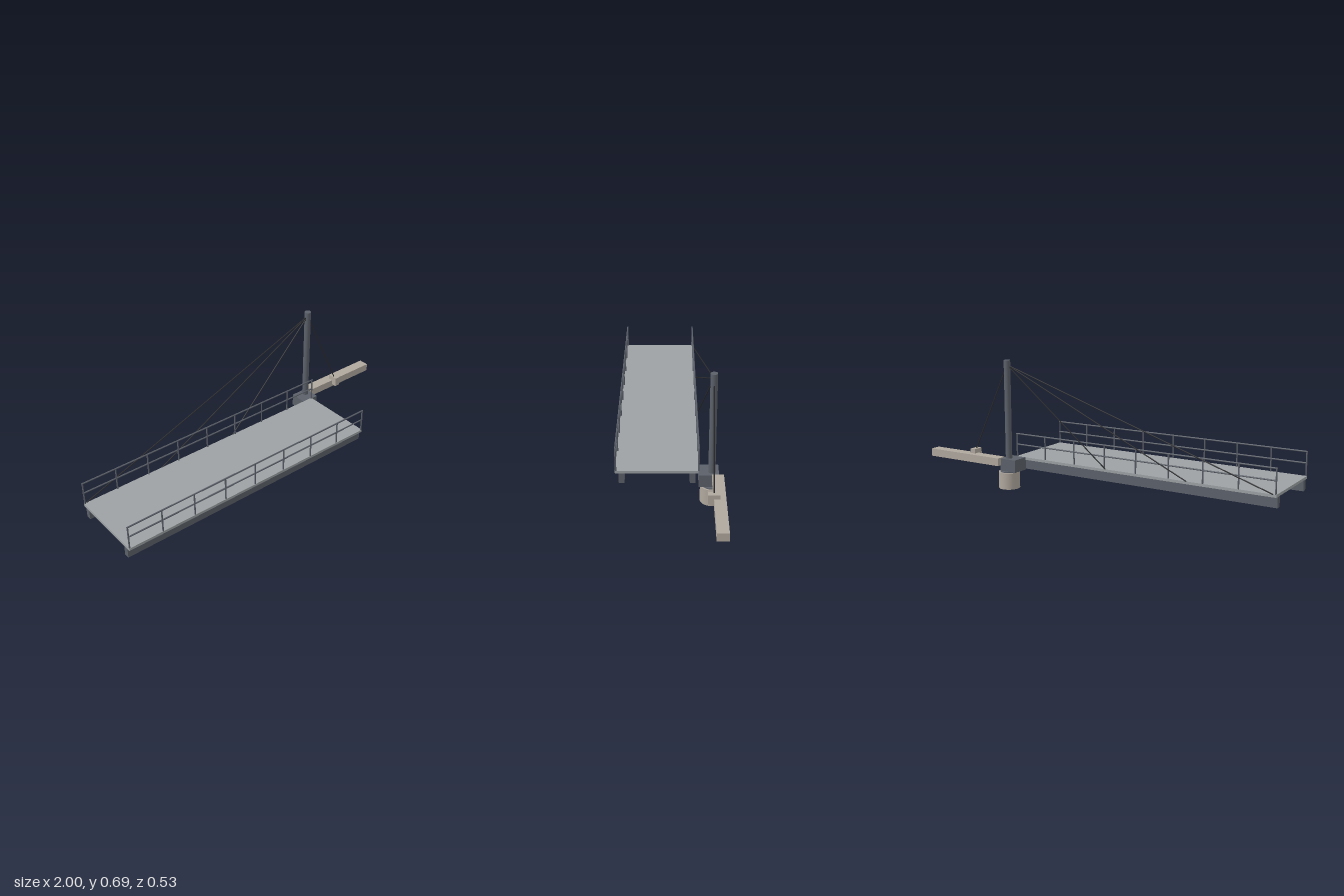
import * as THREE from 'three';

const mat = (color) => new THREE.MeshStandardMaterial({ color });

export function createModel() {
  const model = new THREE.Group();
  const steel = mat(0x5c616a), deckGrey = mat(0x9da1a3), stone = mat(0xb0a89e), dark = mat(0x2b2c2e);

  const add = (parent, name, geometry, material) => {
    const mesh = new THREE.Mesh(geometry, material);
    mesh.name = name;
    parent.add(mesh);
    return mesh;
  };
  // Box given by its limits on each axis
  const box = (parent, name, [x0, x1], [y0, y1], [z0, z1], material) =>
    add(parent, name, new THREE.BoxGeometry(x1 - x0, y1 - y0, z1 - z0), material)
      .position.set((x0 + x1) / 2, (y0 + y1) / 2, (z0 + z1) / 2);
  // Round bar between two points
  const bar = (parent, name, a, b, radius, sides, material) => {
    const from = new THREE.Vector3(...a), to = new THREE.Vector3(...b);
    const dir = to.clone().sub(from);
    const mesh = add(parent, name, new THREE.CylinderGeometry(radius, radius, dir.length(), sides), material);
    mesh.position.copy(from).add(to).multiplyScalar(0.5);
    mesh.quaternion.setFromUnitVectors(new THREE.Vector3(0, 1, 0), dir.normalize());
  };

  // Deck and the two girders below it
  const x0 = -1, x1 = 0.49, deckTop = 0.162;
  box(model, 'deck', [x0, x1], [0.148, deckTop], [-0.148, 0.264], deckGrey);
  box(model, 'frontGirder', [x0, x1], [0.094, 0.148], [0.218, 0.246], steel);
  box(model, 'backGirder', [x0, x1], [0.094, 0.148], [-0.129, -0.101], steel);

  // Railings: nine posts, a top rail and a middle rail on each side
  const r = 0.004;
  for (const [name, z] of [['frontRailing', 0.26], ['backRailing', -0.144]]) {
    const railing = new THREE.Group();
    railing.name = name;
    model.add(railing);
    for (let i = 0; i < 9; i++) {
      const x = THREE.MathUtils.lerp(x0 + r, x1 - r, i / 8);
      bar(railing, 'railingPost', [x, deckTop - 0.004, z], [x, 0.287, z], r, 8, steel);
    }
    for (const y of [0.228, 0.286]) bar(railing, 'rail', [x0, y, z], [x1, y, z], r, 8, steel);
  }

  // Pivot pier, bearing, hub block and mast
  const px = 0.495, pz = -0.207;
  bar(model, 'pier', [px, 0, pz], [px, 0.09, pz], 0.057, 32, stone);
  bar(model, 'bearing', [px, 0.088, pz], [px, 0.095, pz], 0.048, 32, steel);
  box(model, 'hubBlock', [0.43, 0.528], [0.094, deckTop], [-0.241, -0.143], steel);
  bar(model, 'mast', [px, 0.15, pz], [px, 0.692, pz], 0.0175, 24, steel);

  // Bank wall with its anchor block
  box(model, 'bankWall', [0.525, 1], [0.124, 0.166], [-0.264, -0.207], stone);
  box(model, 'anchorBlock', [0.709, 0.741], [0.139, 0.19], [-0.235, -0.178], stone);

  // Stay cables
  const top = [px, 0.666, pz];
  for (const x of [-0.985, -0.54, -0.08]) bar(model, 'stayCable', top, [x, deckTop, -0.148], 0.0032, 8, dark);
  bar(model, 'backstay', top, [0.725, 0.18, pz], 0.0032, 8, dark);

  return model;
}
